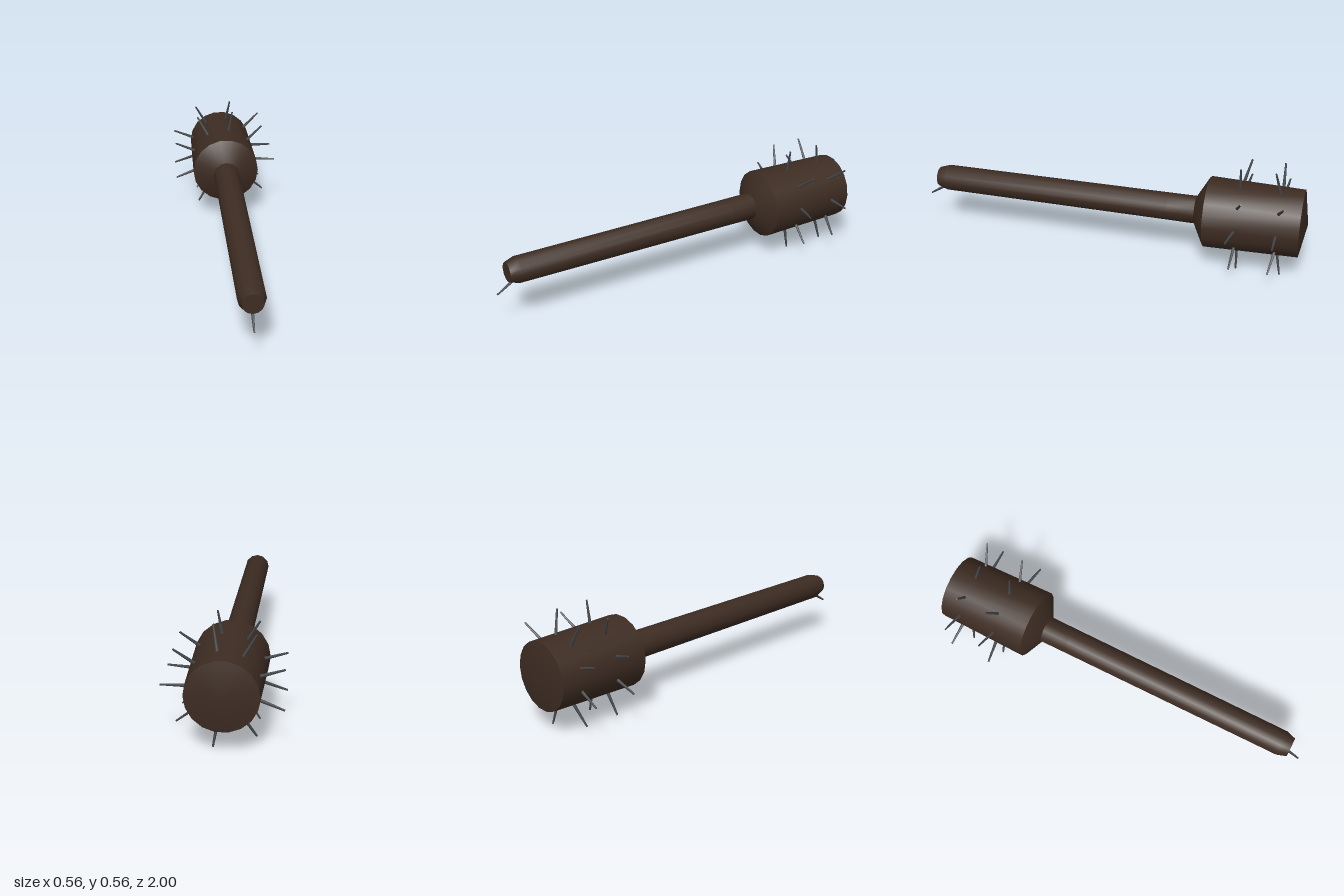
import * as THREE from 'three';
import { toCreasedNormals } from 'three/addons/utils/BufferGeometryUtils.js';

export function createModel() {
  const model = new THREE.Group();
  const wood = new THREE.MeshStandardMaterial({ color: 0x3d2c22 });
  wood.name = 'dark wood';
  const iron = new THREE.MeshStandardMaterial({ color: 0x44474a });
  iron.name = 'iron';

  // The club lies along z; its axis is at this offset
  const club = new THREE.Group();
  club.name = 'club';
  club.position.set(-0.01, 0.283, 0);
  model.add(club);

  // Turned part from [radius, z] points, listed from back to front
  function turned(name, points, sides) {
    const profile = points.map(([r, z]) => new THREE.Vector2(r, z));
    const geometry = new THREE.LatheGeometry(profile, sides, Math.PI / 2).rotateX(Math.PI / 2);
    const mesh = new THREE.Mesh(toCreasedNormals(geometry, 0.6), wood);
    mesh.name = name;
    club.add(mesh);
  }
  turned('handle', [[0.07, -0.47], [0.069, -0.3], [0.066, 0.89], [0.05, 0.94], [0, 0.94]], 12);
  turned('head', [[0, -1], [0.168, -0.97], [0.178, -0.5], [0.07, -0.44], [0, -0.44]], 18);

  // Tapered nail between two points
  function nail(name, from, to) {
    const direction = to.clone().sub(from);
    const geometry = new THREE.CylinderGeometry(0.0045, 0.0085, direction.length(), 6);
    const mesh = new THREE.Mesh(geometry, iron);
    mesh.name = name;
    mesh.position.copy(from).add(to).multiplyScalar(0.5);
    mesh.quaternion.setFromUnitVectors(new THREE.Vector3(0, 1, 0), direction.normalize());
    club.add(mesh);
  }

  // Two rings of nine nails, each leaning a little along the head
  const rings = [
    { z: -0.66, lean: [0.025, -0.03, 0, -0.03, -0.02, 0.01, 0.01, -0.005, 0.01] },
    { z: -0.86, lean: [0, -0.035, 0.03, 0.005, -0.015, -0.01, 0.03, -0.025, 0.02] },
  ];
  for (const { z, lean } of rings) {
    lean.forEach((shift, i) => {
      const a = (i * Math.PI * 2) / 9;
      const at = (r, depth) => new THREE.Vector3(r * Math.cos(a), r * Math.sin(a), depth);
      nail('headSpike', at(0.155, z), at(0.285, z + shift));
    });
  }

  // Single nail under the butt of the handle
  nail('buttSpike', new THREE.Vector3(0, -0.045, 0.9), new THREE.Vector3(0, -0.107, 0.997));
  return model;
}
